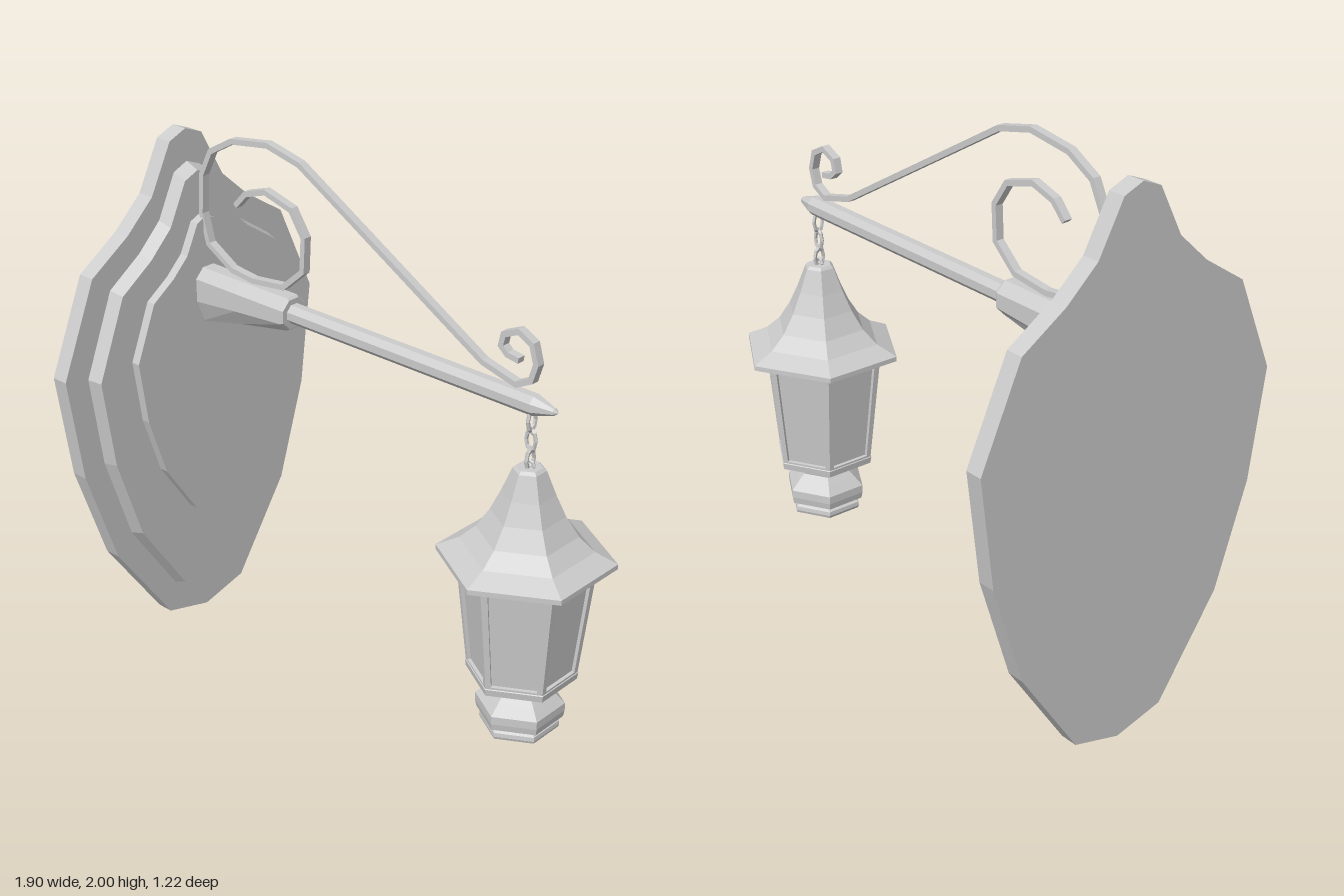
import * as THREE from 'three';

const mat = new THREE.MeshStandardMaterial({ color: 0xcccccc, flatShading: true, side: THREE.DoubleSide });

function add(parent, name, geo, x = 0, y = 0, z = 0) {
  const m = new THREE.Mesh(geo, mat);
  m.name = name;
  m.position.set(x, y, z);
  parent.add(m);
  return m;
}

// Half outline of the wall plate: [half width, height]
const OUTLINE = [[0, 0], [0.19, 0.05], [0.43, 0.4], [0.555, 0.78], [0.61, 1.18], [0.46, 1.525],
  [0.29, 1.635], [0.17, 1.745], [0.075, 1.925], [0, 1.955]];

// One layer of the plate, scaled from the outline; the front rim shrinks by the bevel factor
function plateLayer(x0, x1, sw, sh, y0, bevel) {
  const mirrored = OUTLINE.slice(1, -1).reverse().map(([w, h]) => [-w, h]);
  const pts = [...OUTLINE, ...mirrored].map(([w, h]) => new THREE.Vector2(w * sw, y0 + h * sh));
  const geo = new THREE.ExtrudeGeometry(new THREE.Shape(pts), { depth: x1 - x0, bevelEnabled: false });
  const p = geo.attributes.position;
  const mid = y0 + sh * 0.98;
  for (let i = 0; i < p.count; i++) {
    if (p.getZ(i) > 0.001) p.setXY(i, p.getX(i) * bevel, mid + (p.getY(i) - mid) * bevel);
  }
  geo.rotateY(Math.PI / 2).translate(x0, 0, 0);
  geo.computeVertexNormals();
  return geo;
}

// Lathe turned to lie along +x; profile points are [radius, x]
function turnedAlongX(profile, sides) {
  const geo = new THREE.LatheGeometry(profile.map(([r, x]) => new THREE.Vector2(r, x)), sides, Math.PI / sides);
  return geo.rotateZ(-Math.PI / 2);
}

function hexLathe(profile) {
  return new THREE.LatheGeometry(profile.map(([r, y]) => new THREE.Vector2(r, y)), 6);
}

// Flat bar that follows a polyline in the xy plane, with mitred corners
function ribbon(path, width, depth) {
  const pts = path.map(([x, y]) => new THREE.Vector2(x, y));
  const left = [], right = [];
  pts.forEach((p, i) => {
    const a = p.clone().sub(pts[Math.max(i - 1, 0)]).normalize();
    const b = pts[Math.min(i + 1, pts.length - 1)].clone().sub(p).normalize();
    const t = a.clone().add(b).normalize();
    const cos = t.dot(i ? a : b);
    const n = new THREE.Vector2(-t.y, t.x).multiplyScalar(width / 2 / cos);
    left.push(p.clone().add(n));
    right.unshift(p.clone().sub(n));
  });
  const geo = new THREE.ExtrudeGeometry(new THREE.Shape([...left, ...right]), { depth, bevelEnabled: false });
  return geo.translate(0, 0, -depth / 2);
}

export function createModel() {
  const model = new THREE.Group();
  model.name = 'wallLantern';

  // Stepped wall plate
  const plate = new THREE.Group();
  plate.name = 'wallPlate';
  model.add(plate);
  add(plate, 'plateBack', plateLayer(-0.95, -0.885, 1, 1, 0, 1));
  add(plate, 'plateMiddle', plateLayer(-0.885, -0.83, 0.836, 0.875, 0.125, 0.975));
  add(plate, 'plateFront', plateLayer(-0.83, -0.795, 0.575, 0.6, 0.48, 1));

  // Bracket socket: octagonal, its underside sweeping down toward the plate
  const socket = turnedAlongX([[0, -0.81], [0.066, -0.81], [0.066, -0.6], [0.066, -0.375], [0.058, -0.365], [0, -0.365]], 8);
  const sp = socket.attributes.position;
  for (let i = 0; i < sp.count; i++) {
    const x = sp.getX(i), y = sp.getY(i);
    const drop = x < -0.7 ? 2.5 : x < -0.5 ? 1.7 : 1;
    if (y < -0.001) sp.setY(i, y * drop);
  }
  add(model, 'armSocket', socket, 0, 1.403);

  // Arm with a pointed tip
  add(model, 'arm', turnedAlongX([[0.037, -0.4], [0.037, 0.7], [0.013, 0.775], [0, 0.79]], 8), 0, 1.403);

  // Scrolled strap above the arm
  const scroll = [[-0.63, 1.735], [-0.578, 1.79], [-0.483, 1.82], [-0.36, 1.787], [-0.302, 1.7], [-0.31, 1.575],
    [-0.405, 1.492], [-0.555, 1.475], [-0.66, 1.487], [-0.775, 1.555], [-0.806, 1.665], [-0.796, 1.81],
    [-0.747, 1.905], [-0.64, 1.965], [-0.467, 1.99], [-0.318, 1.957], [0.488, 1.49], [0.627, 1.455],
    [0.685, 1.485], [0.704, 1.545], [0.685, 1.61], [0.63, 1.638], [0.572, 1.612], [0.562, 1.57],
    [0.588, 1.547], [0.635, 1.54]];
  add(model, 'scroll', ribbon(scroll, 0.02, 0.03));

  // Chain of alternating links
  const chain = new THREE.Group();
  chain.name = 'chain';
  model.add(chain);
  [1.345, 1.275, 1.205].forEach((y, i) => {
    const link = add(chain, 'chainLink', new THREE.TorusGeometry(0.02, 0.007, 5, 8, Math.PI * 2).scale(1, 1.75, 1), 0.687, y);
    link.rotation.y = i % 2 ? 0 : Math.PI / 2;
  });
  add(chain, 'hangingLoop', new THREE.TorusGeometry(0.017, 0.006, 5, 8), 0.687, 1.185);

  // Hexagonal lantern
  const lantern = new THREE.Group();
  lantern.name = 'lantern';
  lantern.position.x = 0.687;
  model.add(lantern);
  add(lantern, 'roof', hexLathe([[0, 0.835], [0.302, 0.835], [0.302, 0.853], [0.225, 0.89], [0.17, 0.94],
    [0.125, 1.01], [0.09, 1.085], [0.056, 1.17], [0.045, 1.18], [0, 1.18]]));
  add(lantern, 'glass', new THREE.CylinderGeometry(0.222, 0.176, 0.43, 6), 0, 0.625);

  // Window frames, one per side, leaning outward to the roof
  const topY = 0.84, lowY = 0.41, topR = 0.237, lowR = 0.19, c = Math.cos(Math.PI / 6);
  const lean = Math.atan(((topR - lowR) * c) / (topY - lowY));
  const h = (topY - lowY) / Math.cos(lean);
  const trapezoid = (b, t, y0, y1) => [[-b, y0], [b, y0], [t, y1], [-t, y1]].map(([x, y]) => new THREE.Vector2(x, y));
  const frame = new THREE.Shape(trapezoid(lowR / 2, topR / 2, 0, h));
  frame.holes.push(new THREE.Path(trapezoid(lowR / 2 - 0.018, topR / 2 - 0.024, 0.015, h - 0.012).reverse()));
  for (let i = 0; i < 6; i++) {
    const geo = new THREE.ExtrudeGeometry(frame, { depth: 0.014, bevelEnabled: false });
    geo.translate(0, 0, -0.014).rotateX(lean).translate(0, lowY, lowR * c).rotateY((i + 0.5) * Math.PI / 3);
    add(lantern, 'windowFrame', geo);
  }

  // Moulded foot below the windows
  add(lantern, 'foot', hexLathe([[0, 0.185], [0.135, 0.185], [0.139, 0.195], [0.137, 0.21], [0.125, 0.218],
    [0.15, 0.23], [0.155, 0.255], [0.155, 0.285], [0.12, 0.32], [0.098, 0.34], [0.105, 0.36],
    [0.15, 0.37], [0.19, 0.39], [0.194, 0.415], [0.185, 0.422], [0, 0.422]]));

  return model;
}
